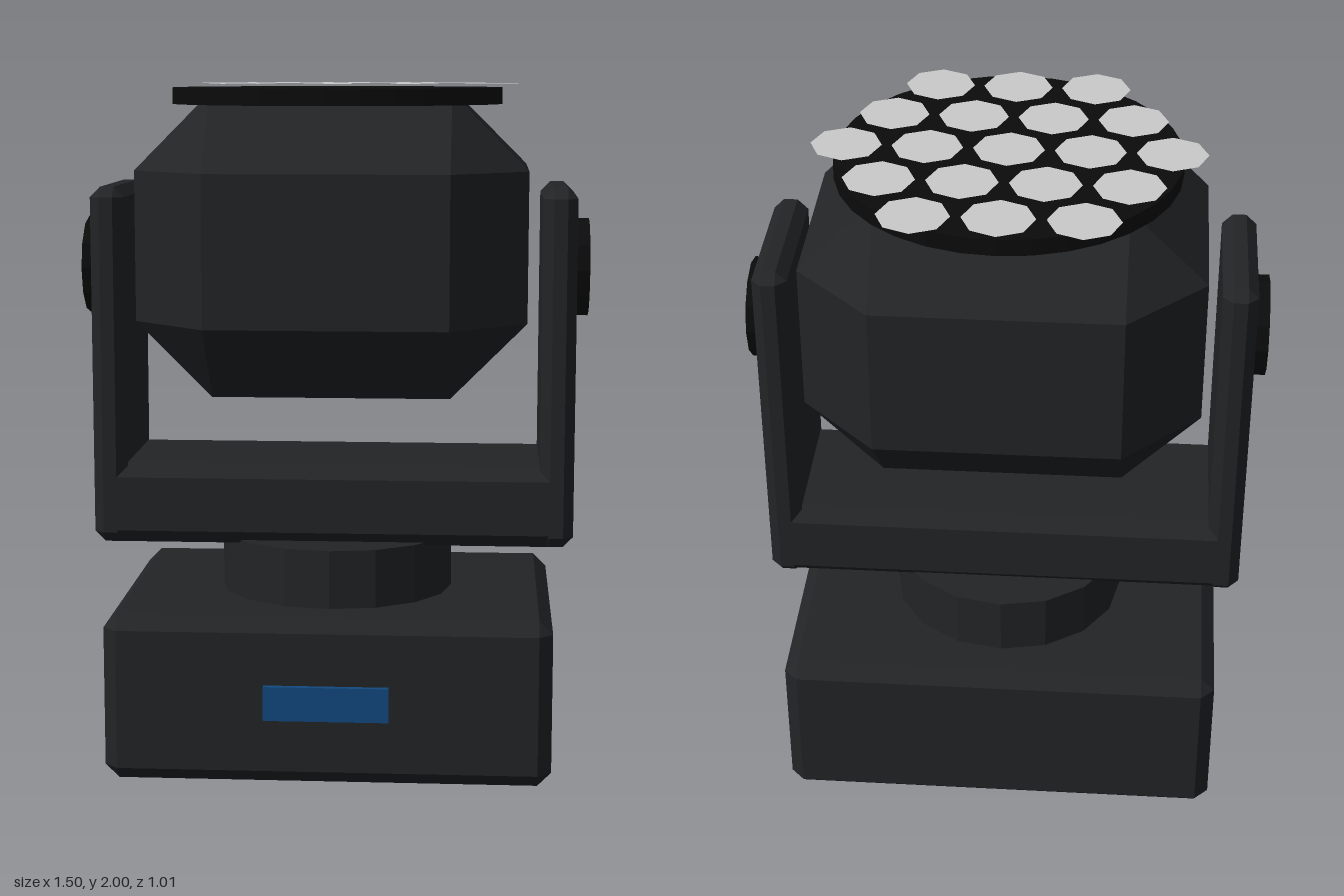
import * as THREE from 'three';
import { ConvexGeometry } from 'three/addons/geometries/ConvexGeometry.js';

const paint = (color, side = THREE.FrontSide) =>
  new THREE.MeshStandardMaterial({ color, side, flatShading: true });

// Box of the given half sizes with every edge cut at 45 degrees
function chamferBox(hx, hy, hz, bevel) {
  const points = [];
  for (const x of [-1, 1]) for (const y of [-1, 1]) for (const z of [-1, 1]) {
    points.push(
      new THREE.Vector3(x * hx, y * (hy - bevel), z * (hz - bevel)),
      new THREE.Vector3(x * (hx - bevel), y * hy, z * (hz - bevel)),
      new THREE.Vector3(x * (hx - bevel), y * (hy - bevel), z * hz));
  }
  return new ConvexGeometry(points);
}

export function createModel() {
  const model = new THREE.Group();
  model.name = 'movingHeadLight';

  const body = paint(0x222426);
  const black = paint(0x0b0b0b);
  const blue = paint(0x124a80);
  const glass = paint(0xcccccc, THREE.DoubleSide);

  const add = (name, geometry, material, x, y, z, parent = model) => {
    const mesh = new THREE.Mesh(geometry, material);
    mesh.name = name;
    mesh.position.set(x, y, z);
    parent.add(mesh);
    return mesh;
  };

  // Base with its display, and the turntable above
  add('base', chamferBox(0.647, 0.244, 0.487, 0.04), body, 0, 0.244, 0);
  add('display', new THREE.BoxGeometry(0.36, 0.1, 0.04), blue, 0, 0.245, 0.485);
  add('turntable', new THREE.CylinderGeometry(0.348, 0.348, 0.2, 16), body, 0, 0.56, 0);

  // Yoke: crossbar, two arms and their pivot caps
  const yoke = new THREE.Group();
  yoke.name = 'yoke';
  model.add(yoke);
  add('crossbar', chamferBox(0.7, 0.12, 0.24, 0.04), body, 0, 0.77, 0, yoke);
  for (const side of [1, -1]) {
    const label = side > 0 ? 'left' : 'right';
    add(label + 'Arm', chamferBox(0.05, 0.525, 0.24, 0.03), body, side * 0.658, 1.178, 0, yoke);
    const cap = add(label + 'PivotCap', new THREE.CylinderGeometry(0.145, 0.145, 0.08, 12),
      black, side * 0.708, 1.46, 0, yoke);
    cap.rotation.z = Math.PI / 2;
  }

  // Head, tilted straight up, with the lens plate on top
  const head = new THREE.Group();
  head.name = 'head';
  model.add(head);
  add('headShell', chamferBox(0.565, 0.437, 0.505, 0.22), body, 0, 1.537, 0, head);
  add('lensPlate', new THREE.CylinderGeometry(0.488, 0.488, 0.048, 32), black, 0, 1.964, 0, head);

  // Nineteen flat lenses in a hexagonal pattern
  const lens = new THREE.CircleGeometry(0.1, 8).rotateX(-Math.PI / 2);
  const pitch = 0.227;
  for (let row = -2; row <= 2; row++) {
    const count = 5 - Math.abs(row);
    for (let i = 0; i < count; i++) {
      add('lens', lens, glass, (i - (count - 1) / 2) * pitch, 2, row * pitch * Math.sqrt(3) / 2, head);
    }
  }
  return model;
}
